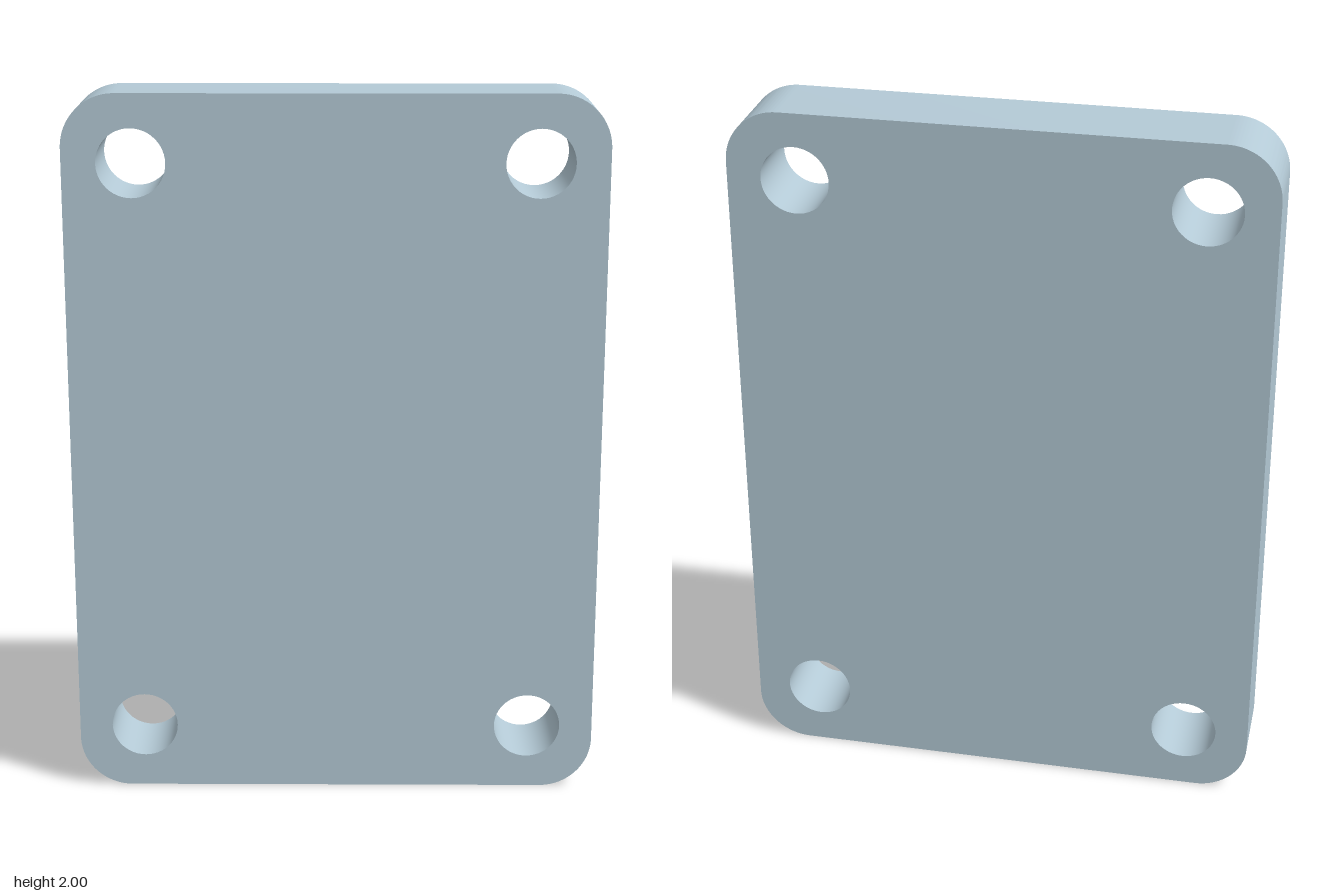
import * as THREE from 'three';
import { toCreasedNormals } from 'three/addons/utils/BufferGeometryUtils.js';

const HALF_WIDTH = 0.737, HALF_HEIGHT = 1, DEPTH = 0.22;
const CORNER_RADIUS = 0.147;
const HOLE_RADIUS = 0.094, HOLE_INSET = 0.187;

export function createModel() {
  const group = new THREE.Group();
  group.name = 'mountingPlate';

  // Rounded outline, centred on the origin
  const outline = new THREE.Shape();
  const cx = HALF_WIDTH - CORNER_RADIUS, cy = HALF_HEIGHT - CORNER_RADIUS;
  [[1, 1], [-1, 1], [-1, -1], [1, -1]].forEach(([sx, sy], i) => {
    const start = i * Math.PI / 2;
    outline.absarc(sx * cx, sy * cy, CORNER_RADIUS, start, start + Math.PI / 2, false);

    // Screw hole near this corner
    const hole = new THREE.Path();
    hole.absarc(sx * (HALF_WIDTH - HOLE_INSET), sy * (HALF_HEIGHT - HOLE_INSET),
      HOLE_RADIUS, 0, Math.PI * 2, true);
    outline.holes.push(hole);
  });
  outline.closePath();

  // Flat plate with smooth corners and hole walls
  const extruded = new THREE.ExtrudeGeometry(outline, {
    depth: DEPTH, bevelEnabled: false, curveSegments: 24,
  });
  extruded.translate(0, HALF_HEIGHT, -DEPTH / 2);
  const plate = new THREE.Mesh(
    toCreasedNormals(extruded, Math.PI / 6),
    new THREE.MeshStandardMaterial({ color: 0xb4cad6 }),
  );
  plate.name = 'plate';
  group.add(plate);

  return group;
}
